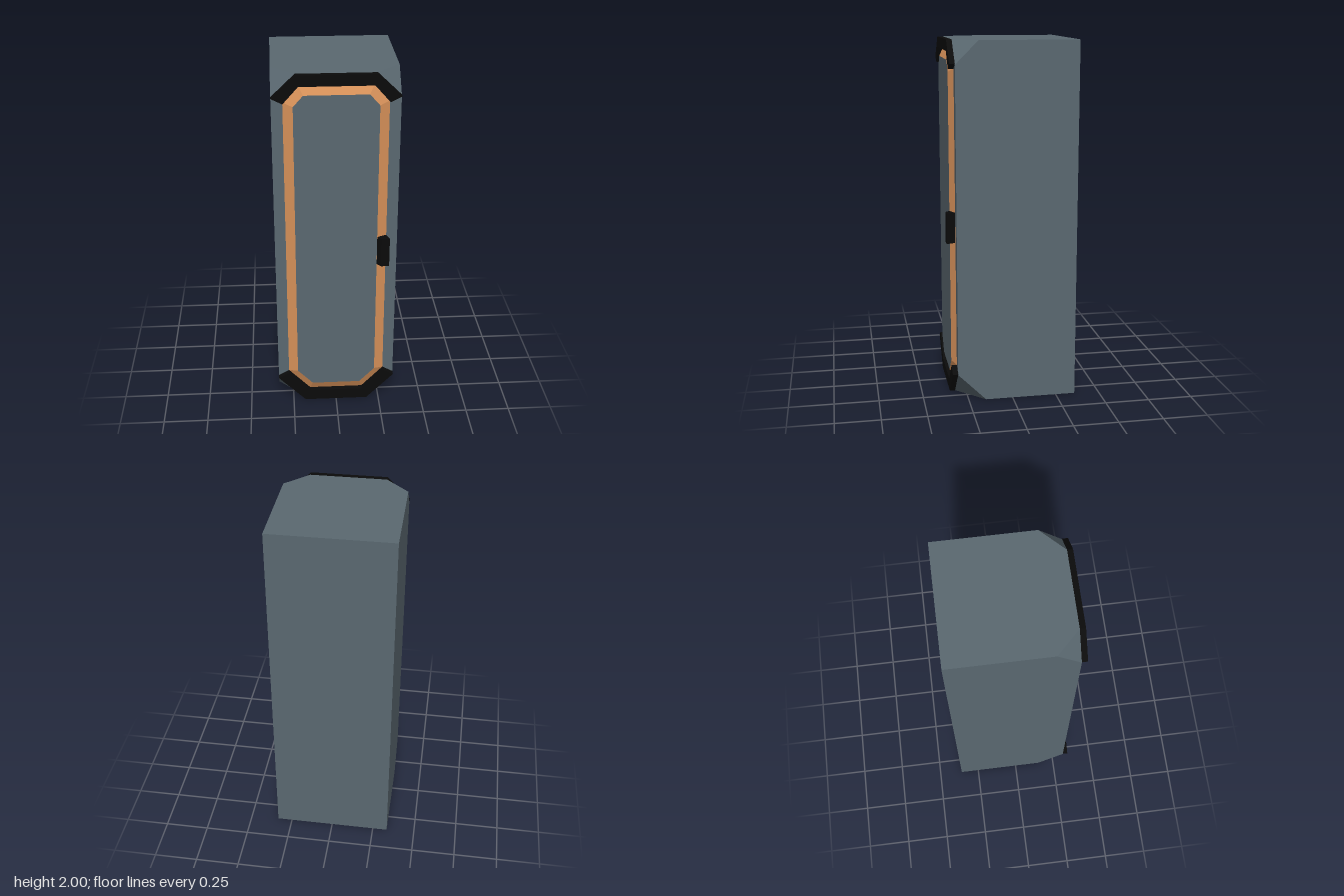
import * as THREE from 'three';
import { ConvexGeometry } from 'three/addons/geometries/ConvexGeometry.js';

const V = (x, y, z) => new THREE.Vector3(x, y, z);
const FRONT = 0.31, BACK = -0.36, HALF = 0.335;

// Closes a right-hand outline (bottom to top) with its mirror image
const mirrored = (pts) => [...pts, ...pts.map(([x, y]) => [-x, y]).reverse()];
const shapeOf = (pts) => new THREE.Shape(pts.map(([x, y]) => new THREE.Vector2(x, y)));

// Sloping band between two matching outlines at two depths
function bandGeometry(outer, zOuter, inner, zInner) {
  const pos = [];
  outer.forEach((a, i) => {
    const j = (i + 1) % outer.length;
    const b = outer[j], c = inner[j], d = inner[i];
    pos.push(...a, zOuter, ...b, zOuter, ...c, zInner);
    pos.push(...a, zOuter, ...c, zInner, ...d, zInner);
  });
  const g = new THREE.BufferGeometry();
  g.setAttribute('position', new THREE.Float32BufferAttribute(pos, 3));
  g.computeVertexNormals();
  return g;
}

export function createModel() {
  const model = new THREE.Group();
  model.name = 'locker';
  const material = (name, color) => {
    const m = new THREE.MeshStandardMaterial({ color });
    m.name = name;
    return m;
  };
  const grey = material('slate grey', 0x5a6870);
  const orange = material('orange', 0xd8925a);
  const black = material('black', 0x0b0b0b);
  const add = (name, geometry, mat) => {
    const mesh = new THREE.Mesh(geometry, mat);
    mesh.name = name;
    model.add(mesh);
    return mesh;
  };

  // Cabinet: a box with its four front corners cut off
  const corners = [];
  for (const s of [-1, 1]) {
    for (const [y, dir, cut] of [[0, 1, 0.157], [2, -1, 0.125]]) {
      corners.push(
        V(s * HALF, y, BACK),
        V(s * HALF, y, FRONT - cut),
        V(s * (HALF - cut), y, FRONT),
        V(s * HALF, y + dir * cut, FRONT)
      );
    }
  }
  add('cabinet', new ConvexGeometry(corners), grey);

  // Raised door with a bevelled orange border
  const doorZ = 0.335;
  const outer = mirrored([[0.152, 0.065], [0.275, 0.195], [0.275, 1.85], [0.195, 1.94]]);
  const inner = mirrored([[0.137, 0.115], [0.223, 0.205], [0.223, 1.832], [0.17, 1.892]]);
  add('doorBorder', bandGeometry(outer, FRONT, inner, doorZ), orange);
  add('doorPanel', new THREE.ShapeGeometry(shapeOf(inner)).translate(0, 0, doorZ), grey);

  // Black bumpers around the top and bottom of the door
  const bumpers = {
    topBumper: [[0.195, 1.94], [0.275, 1.85], [0.335, 1.88], [0.21, 2]],
    bottomBumper: [[0.152, 0.065], [0.275, 0.195], [0.335, 0.16], [0.18, 0]],
  };
  for (const [name, pts] of Object.entries(bumpers)) {
    const g = new THREE.ExtrudeGeometry(shapeOf(mirrored(pts)), { depth: 0.03, bevelEnabled: false });
    add(name, g.translate(0, 0, FRONT), black);
  }

  // Slanted handle on the door's edge
  const section = [[0.222, 0.333], [0.246, 0.36], [0.29, 0.36], [0.272, FRONT], [0.222, FRONT]];
  const handle = [];
  for (const y of [0.905, 1.075]) for (const [x, z] of section) handle.push(V(x, y, z));
  add('handle', new ConvexGeometry(handle), black);

  return model;
}
